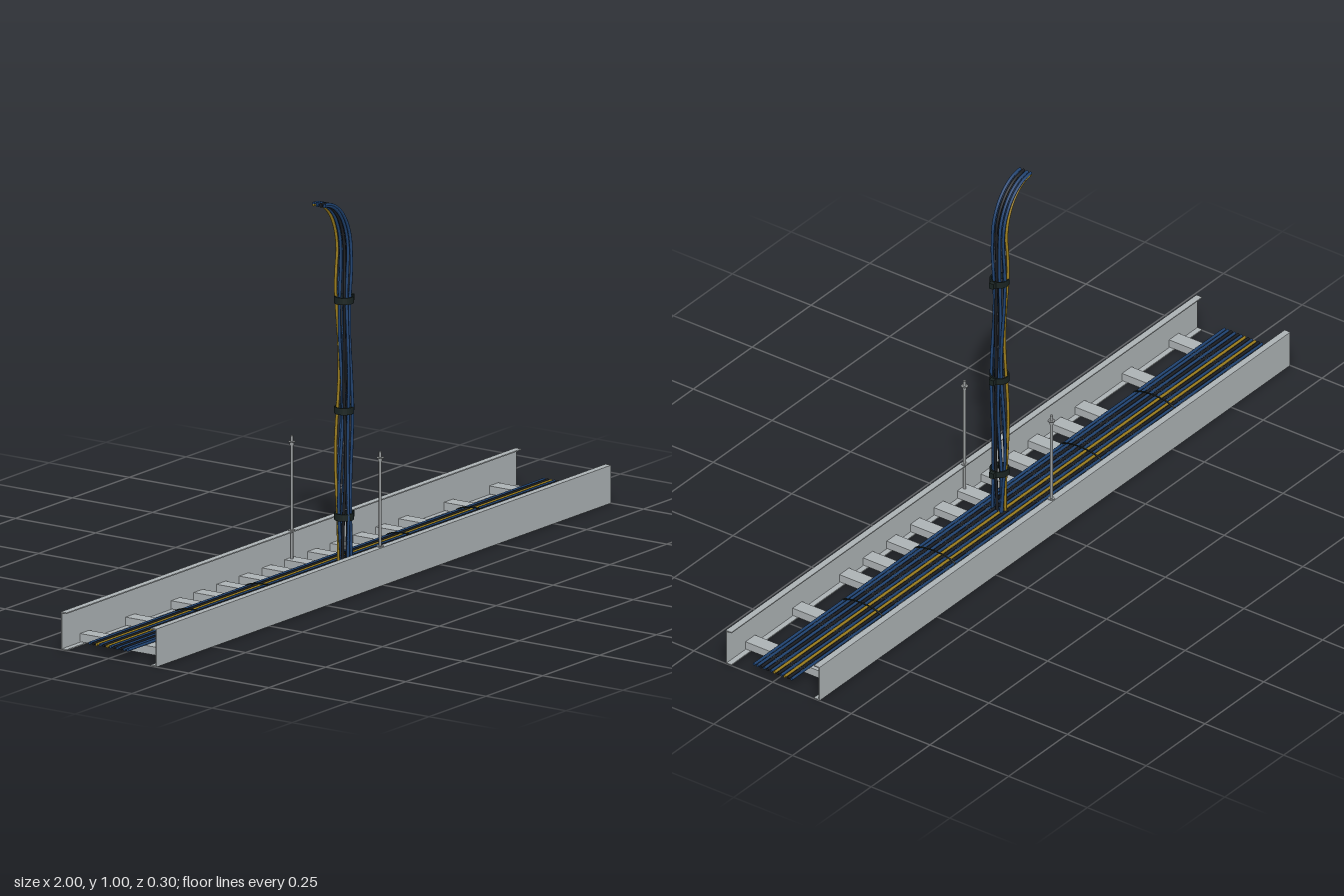
import * as THREE from 'three';

function material(name, color, side = THREE.FrontSide) {
  const m = new THREE.MeshStandardMaterial({ color, side });
  m.name = name;
  return m;
}

export function createModel() {
  const root = new THREE.Group();
  root.name = 'cableLadderWithRiser';
  const steel = material('galvanisedSteel', 0xacb2b4);
  const rodSteel = material('rodSteel', 0x989c9d);
  const navy = material('navyCable', 0x1f4270);
  const black = material('blackCable', 0x1a1d22);
  const yellow = material('yellowCable', 0x9a7c1c);
  const tieBlack = material('tieBlack', 0x1a2422, THREE.DoubleSide);

  const add = (parent, name, geo, mat, x = 0, y = 0, z = 0) => {
    const m = new THREE.Mesh(geo, mat);
    m.name = name;
    m.position.set(x, y, z);
    parent.add(m);
    return m;
  };
  const box = (parent, name, mat, w, h, d, x, y, z) =>
    add(parent, name, new THREE.BoxGeometry(w, h, d), mat, x, y, z);
  const group = (name) => {
    const g = new THREE.Group();
    g.name = name;
    root.add(g);
    return g;
  };

  // Side rails: channels with inward flanges, each with a threaded hanger rod
  for (const s of [1, -1]) {
    const rail = group(s > 0 ? 'frontRail' : 'backRail');
    box(rail, 'railWeb', steel, 2, 0.1, 0.003, 0, 0.05, s * 0.1475);
    for (const y of [0.0015, 0.0985])
      box(rail, 'railFlange', steel, 2, 0.003, 0.018, 0, y, s * 0.14);

    const hanger = group(s > 0 ? 'frontHanger' : 'backHanger');
    const z = s * 0.138;
    add(hanger, 'hangerRod', new THREE.CylinderGeometry(0.0038, 0.0038, 0.33, 10), rodSteel, 0, 0.185, z);
    add(hanger, 'hangerNut', new THREE.CylinderGeometry(0.006, 0.006, 0.008, 6), rodSteel, 0, 0.329, z);
    for (const y of [0.101, 0.334])
      add(hanger, 'hangerWasher', new THREE.CylinderGeometry(0.0095, 0.0095, 0.002, 16), rodSteel, 0, y, z);
  }

  // Rungs: strut channels, open at the bottom with turned lips
  const rungXs = [0, 0.1, 0.2, 0.3, 0.4, 0.5, 0.7, 0.9];
  for (const x of [...rungXs, ...rungXs.slice(1).map((v) => -v)]) {
    const rung = group('rung');
    box(rung, 'rungTop', steel, 0.04, 0.003, 0.292, x, 0.0245, 0);
    for (const s of [1, -1]) {
      box(rung, 'rungSide', steel, 0.003, 0.02, 0.292, x + s * 0.0185, 0.015, 0);
      box(rung, 'rungLip', steel, 0.01, 0.003, 0.292, x + s * 0.015, 0.006, 0);
    }
  }

  // Cables laid side by side on the rungs
  const layColours = [navy, black, yellow, navy, black, yellow, navy, black, navy, black, navy, navy];
  const tray = group('trayCables');
  layColours.forEach((mat, i) => {
    const z = (i - 5.5) * 0.0108;
    const geo = new THREE.CylinderGeometry(0.0038, 0.0038, 2, 10).rotateZ(Math.PI / 2);
    add(tray, 'trayCable', geo, mat, 0, 0.031, z);
  });

  // Low ties arching over the cables
  for (const x of [-0.62, -0.31, 0.31, 0.62]) {
    const points = [];
    for (let i = 0; i <= 16; i++) {
      const a = (i / 16) * Math.PI;
      points.push(new THREE.Vector3(x, 0.028 + 0.018 * Math.sin(a), 0.065 * Math.cos(a)));
    }
    add(root, 'trayTie', new THREE.TubeGeometry(new THREE.CatmullRomCurve3(points), 24, 0.002, 6), tieBlack);
  }

  // Riser cables: a gently weaving bundle that bends over at the top
  const riserColours = [[yellow, navy, black, navy], [navy, navy, black, navy]];
  const riser = group('riserCables');
  riserColours.forEach((row, r) => row.forEach((mat, c) => {
    const z0 = (c - 1.5) * 0.0113;
    const x0 = r ? 0.043 : 0.029;
    const points = [];
    for (let i = 0; i <= 17; i++) {
      const y = i * 0.05;
      const fade = y < 0.76 ? 1 : Math.max(0, (0.85 - y) / 0.09);
      const phase = c * 2.1 + r * 1.3;
      points.push(new THREE.Vector3(
        x0 + 0.004 * fade * Math.sin(y * 11 + 2 + phase * 0.3),
        y,
        z0 + 0.0035 * fade * Math.sin(y * 14 + phase)));
    }
    const topY = r ? 0.996 : 0.992;
    for (let i = 1; i <= 8; i++) {
      const a = (i / 8) * Math.PI / 2;
      points.push(new THREE.Vector3(
        -0.075 + (x0 + 0.075) * Math.cos(a), 0.85 + (topY - 0.85) * Math.sin(a), z0));
    }
    const curve = new THREE.CatmullRomCurve3(points);
    add(riser, 'riserCable', new THREE.TubeGeometry(curve, 90, 0.004, 8), mat);
    // Cut ends
    const top = add(riser, 'cableEnd', new THREE.CircleGeometry(0.004, 8), mat, -0.075, topY, z0);
    top.rotation.y = -Math.PI / 2;
    const foot = add(riser, 'cableEnd', new THREE.CircleGeometry(0.004, 8), mat, points[0].x, 0, points[0].z);
    foot.rotation.x = Math.PI / 2;
  }));

  // Oval straps around the riser, each with a locking head
  for (const y of [0.152, 0.432, 0.722]) {
    const strap = group('riserStrap');
    const shape = new THREE.Shape().absellipse(0, 0, 0.026, 0.025, 0, Math.PI * 2);
    shape.holes.push(new THREE.Path().absellipse(0, 0, 0.022, 0.022, 0, Math.PI * 2));
    const geo = new THREE.ExtrudeGeometry(shape, { depth: 0.018, bevelEnabled: false, curveSegments: 14 });
    geo.rotateX(-Math.PI / 2);
    add(strap, 'strapBand', geo, tieBlack, 0.036, y - 0.009, 0);
    box(strap, 'strapHead', tieBlack, 0.012, 0.016, 0.014, 0.066, y, 0);
  }
  return root;
}
